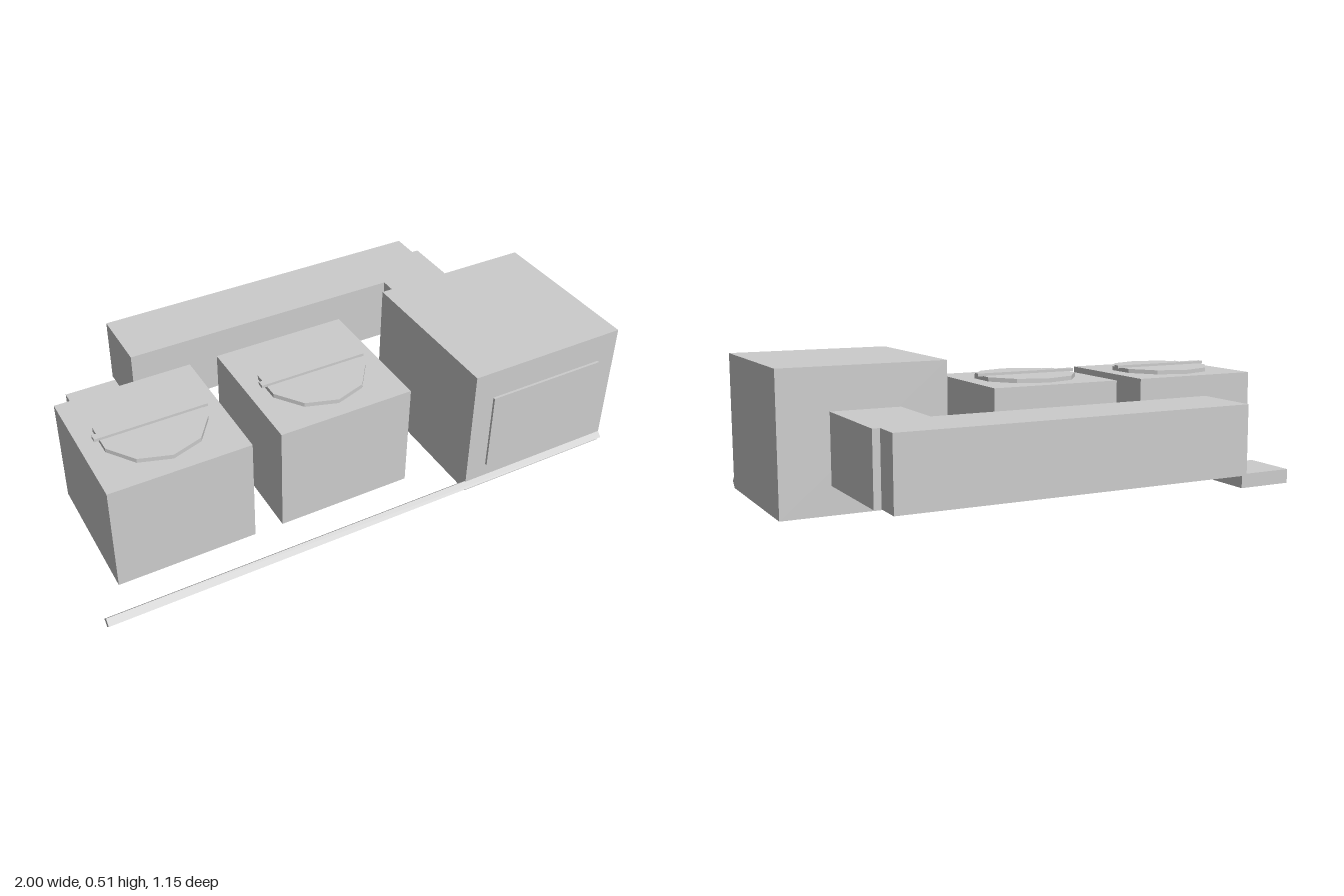
import * as THREE from 'three';

export function createModel() {
  const model = new THREE.Group();
  model.name = 'machineUnits';
  const grey = new THREE.MeshStandardMaterial({ color: 0xcccccc, flatShading: true });
  grey.name = 'lightGrey';

  const add = (name, geometry, parent = model) => {
    const mesh = new THREE.Mesh(geometry, grey);
    mesh.name = name;
    parent.add(mesh);
    return mesh;
  };
  // Box given by its limits on each axis
  const block = (name, [x0, x1], [y0, y1], [z0, z1], parent) => {
    const mesh = add(name, new THREE.BoxGeometry(x1 - x0, y1 - y0, z1 - z0), parent);
    mesh.position.set((x0 + x1) / 2, (y0 + y1) / 2, (z0 + z1) / 2);
    return mesh;
  };

  // Tall cabinet with a thin panel just off its front
  block('cabinet', [0.385, 1], [0.003, 0.515], [-0.06, 0.556]);
  block('frontPanel', [0.46, 0.92], [0.105, 0.41], [0.563, 0.572]);

  // Two tanks, each with a ten-sided lid and a handle bar
  for (const x of [-0.645, -0.028]) {
    const tank = new THREE.Group();
    tank.name = 'tank';
    tank.position.set(x, 0, 0.142);
    model.add(tank);
    block('tankBody', [-0.255, 0.255], [0.003, 0.411], [-0.255, 0.255], tank);
    const lid = add('lid', new THREE.CylinderGeometry(0.195, 0.195, 0.016, 10), tank);
    lid.position.y = 0.419;
    block('lidHandle', [-0.205, 0.205], [0.426, 0.437], [-0.013, 0.013], tank);
  }

  // L-shaped duct behind, drawn in plan (x, -z) and raised
  const plan = [
    [-0.54, 0.32], [0.56, 0.32], [0.56, 0.06], [0.816, 0.06],
    [0.816, 0.47], [0.79, 0.47], [0.79, 0.575], [-0.54, 0.575],
  ].map(([x, y]) => new THREE.Vector2(x, y));
  const duct = add('duct', new THREE.ExtrudeGeometry(new THREE.Shape(plan), {
    depth: 0.255, bevelEnabled: false,
  }));
  duct.rotation.x = -Math.PI / 2;
  duct.position.y = 0.106;

  // Low outlet tray at the end of the duct
  block('outletTray', [-0.745, -0.54], [0.055, 0.106], [-0.549, -0.345]);

  // Diamond-section rail along the front
  const rail = add('frontRail', new THREE.CylinderGeometry(0.02, 0.02, 2, 4));
  rail.rotation.z = Math.PI / 2;
  rail.position.set(0, 0.027, 0.554);

  return model;
}
